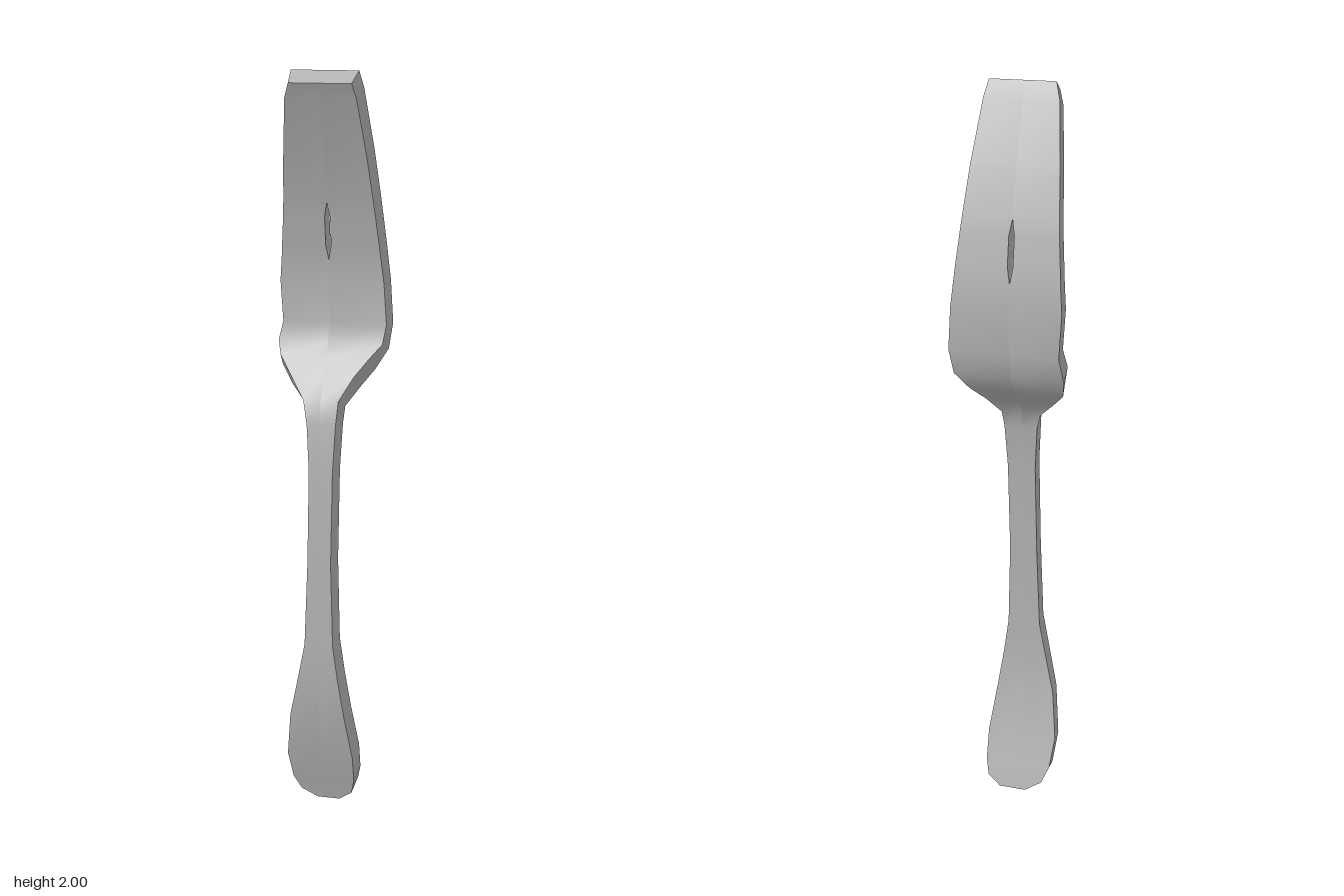
import * as THREE from 'three';

// Sections from tines to handle end: [spine y, spine z, right-hand edge x, left-hand edge x]
const SECTIONS = [
  [1.988, 0.061, -0.09, 0.077],
  [1.95, 0.043, -0.103, 0.086],
  [1.8, -0.014, -0.12, 0.103],
  [1.685, -0.045, -0.128, 0.115],
  [1.645, -0.054, -0.131, 0.119],
  [1.572, -0.067, -0.137, 0.127],
  [1.532, -0.073, -0.14, 0.131],
  [1.47, -0.079, -0.145, 0.138],
  [1.36, -0.076, -0.138, 0.146],
  [1.303, -0.062, -0.148, 0.138],
  [1.262, -0.034, -0.138, 0.108],
  [1.222, 0.004, -0.104, 0.075],
  [1.172, 0.039, -0.062, 0.042],
  [1.12, 0.052, -0.05, 0.038],
  [1.0, 0.066, -0.042, 0.033],
  [0.75, 0.079, -0.044, 0.031],
  [0.52, 0.083, -0.052, 0.037],
  [0.42, 0.081, -0.071, 0.05],
  [0.305, 0.073, -0.095, 0.067],
  [0.17, 0.043, -0.11, 0.085],
  [0.085, 0.018, -0.1, 0.085],
  [0.04, 0.005, -0.08, 0.076],
  [0.012, -0.002, -0.035, 0.04],
];
const HALF_THICKNESS = 0.031;
const SLOT = { x: -0.012, halfWidth: 0.007, bottom: 1.55, top: 1.67 };

// Points of one section, set out square to the spine: outer and slot edges, front and back
function corners([y, z, x0, x1], i) {
  const above = SECTIONS[Math.max(i - 1, 0)];
  const below = SECTIONS[Math.min(i + 1, SECTIONS.length - 1)];
  const dy = above[0] - below[0], dz = above[1] - below[1];
  const scale = HALF_THICKNESS / Math.hypot(dy, dz);
  const front = x => [x, y - dz * scale, z + dy * scale];
  const back = x => [x, y + dz * scale, z - dy * scale];
  const gap = y > SLOT.bottom && y < SLOT.top ? SLOT.halfWidth : 0;
  return {
    fr: front(x0 + 0.005), fs0: front(SLOT.x - gap), fs1: front(SLOT.x + gap), fl: front(x1 - 0.008),
    br: back(x0), bs0: back(SLOT.x - gap), bs1: back(SLOT.x + gap), bl: back(x1),
  };
}

// Ribbon between two point rows, with smooth normals along its length
function ribbon(a, b) {
  const geometry = new THREE.BufferGeometry();
  const index = [];
  for (let i = 0; i < a.length - 1; i++) {
    const k = i * 2;
    index.push(k, k + 2, k + 1, k + 1, k + 2, k + 3);
  }
  const points = a.flatMap((p, i) => [...p, ...b[i]]);
  geometry.setAttribute('position', new THREE.Float32BufferAttribute(points, 3));
  geometry.setIndex(index);
  geometry.computeVertexNormals();
  return geometry;
}

export function createModel() {
  const steel = new THREE.MeshStandardMaterial({ color: 0xb2b2b2 });
  steel.name = 'steel';
  const fork = new THREE.Group();
  fork.name = 'fork';

  const add = (name, a, b) => {
    const mesh = new THREE.Mesh(ribbon(a, b), steel);
    mesh.name = name;
    fork.add(mesh);
  };
  const rows = SECTIONS.map(corners);
  const edge = (key, list = rows) => list.map(row => row[key]);

  // Broad faces, split along the slot line
  add('frontRightHalf', edge('fr'), edge('fs0'));
  add('frontLeftHalf', edge('fs1'), edge('fl'));
  add('backRightHalf', edge('bs0'), edge('br'));
  add('backLeftHalf', edge('bl'), edge('bs1'));

  // Outer rims
  add('rightRim', edge('br'), edge('fr'));
  add('leftRim', edge('fl'), edge('bl'));

  // Walls of the slot between the tines
  const slot = rows.slice(3, 7);
  add('slotRightWall', edge('fs0', slot), edge('bs0', slot));
  add('slotLeftWall', edge('bs1', slot), edge('fs1', slot));

  // Flat end faces
  const top = rows[0], end = rows[rows.length - 1];
  add('tineEnd', [top.br, top.fr], [top.bl, top.fl]);
  add('handleEnd', [end.fr, end.br], [end.fl, end.bl]);

  return fork;
}
